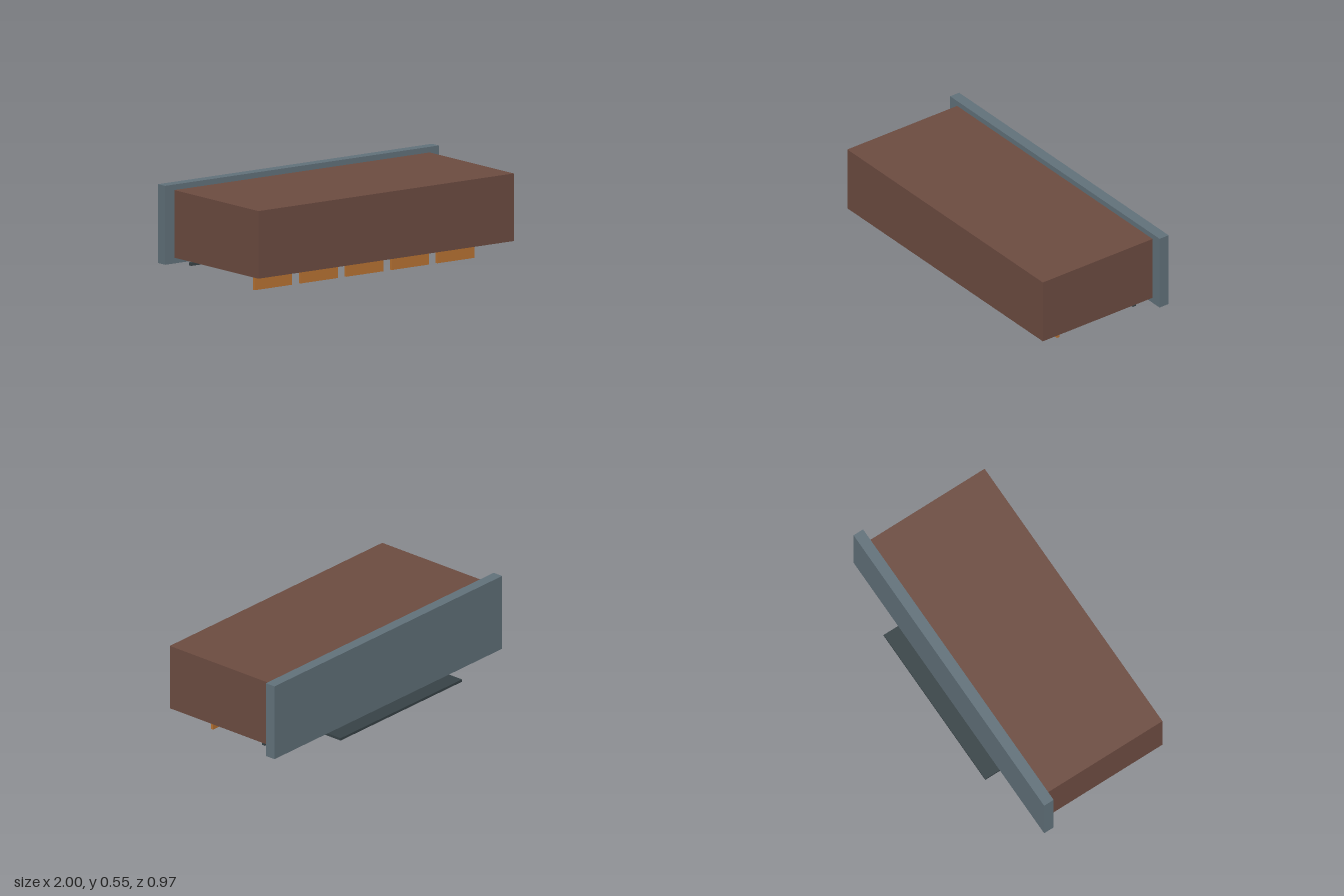
import * as THREE from 'three';

const paint = (color) => new THREE.MeshStandardMaterial({ color });

export function createModel() {
  const model = new THREE.Group();
  const brown = paint(0x6d4c41);
  const slate = paint(0x62727b);
  const dark = paint(0x384347);
  const copper = paint(0xb87333);
  const teal = paint(0x256a6c);
  const pale = paint(0xb0b2ae);

  // Box given by its [min, max] extent on each axis
  function block(name, material, [x0, x1], [y0, y1], [z0, z1], parent = model) {
    const mesh = new THREE.Mesh(new THREE.BoxGeometry(x1 - x0, y1 - y0, z1 - z0), material);
    mesh.name = name;
    mesh.position.set((x0 + x1) / 2, (y0 + y1) / 2, (z0 + z1) / 2);
    parent.add(mesh);
    return mesh;
  }

  // Main body, back board and the ledge beneath it
  block('body', brown, [-0.933, 0.933], [0.115, 0.514], [-0.317, 0.483]);
  block('backBoard', slate, [-1, 1], [0.081, 0.547], [-0.383, -0.317]);
  block('backLedge', dark, [-0.533, 0.533], [0.066, 0.081], [-0.483, -0.323]);

  // Underside plate and the long rail behind the bays
  block('underPlate', pale, [-0.8, 0.8], [0.107, 0.115], [-0.208, 0.377]);
  block('crossRail', dark, [-0.9, 0.9], [0.081, 0.099], [-0.22, -0.198]);

  // Five bays: panel, two side runners and a hanging flap
  for (let i = -2; i <= 2; i++) {
    const bay = new THREE.Group();
    bay.name = 'bay';
    bay.position.x = i / 3;
    model.add(bay);
    block('bayPanel', teal, [-0.133, 0.133], [0.095, 0.107], [-0.123, 0.29], bay);
    for (const s of [-1, 1]) {
      const runner = block('bayRunner', dark, [-0.007, 0.007], [0.083, 0.098], [-0.148, 0.317], bay);
      runner.position.x = s * 0.14;
    }
    block('bayFlap', copper, [-0.136, 0.136], [0, 0.095], [0.263, 0.28], bay);
  }
  return model;
}
